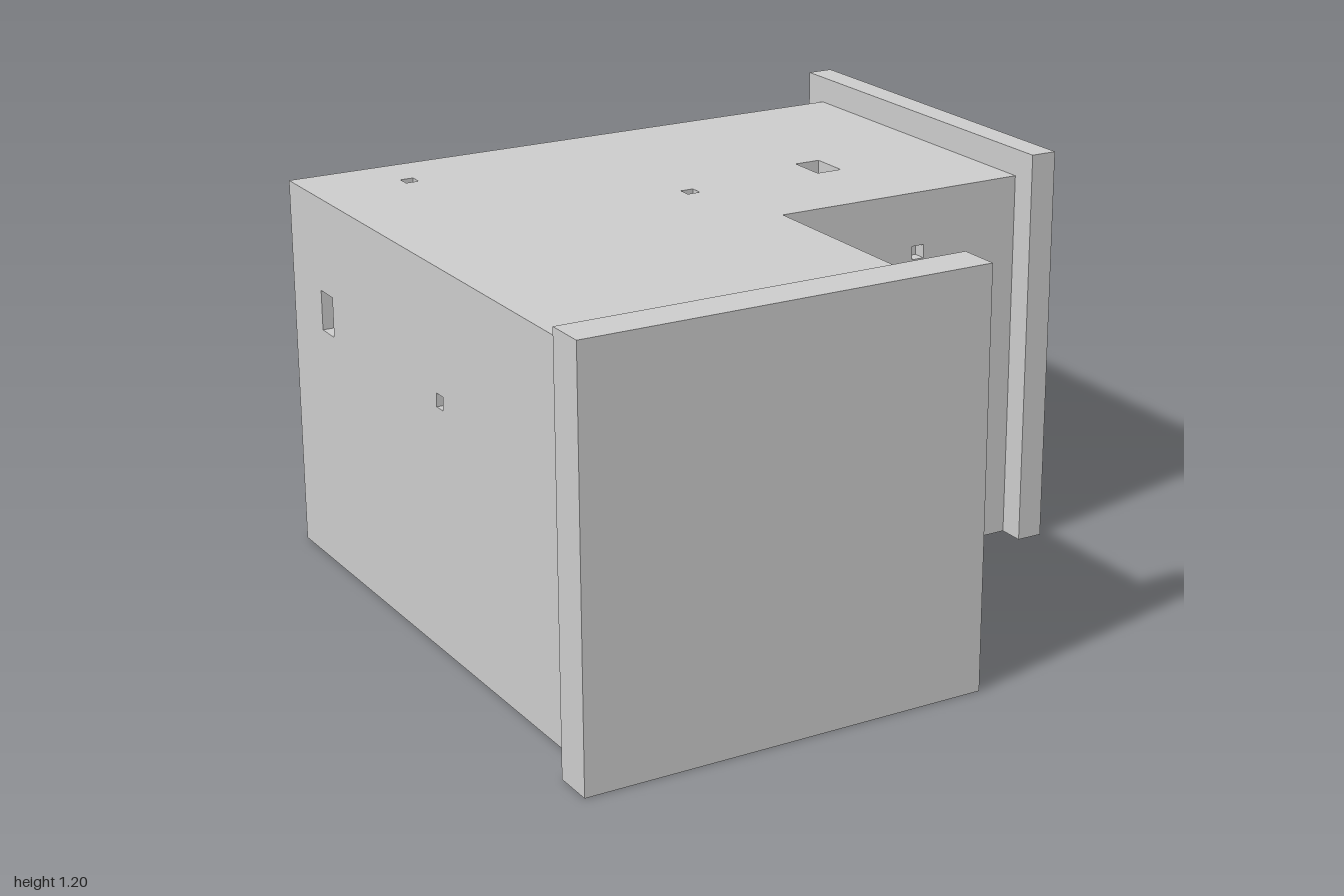
import * as THREE from 'three';

const material = new THREE.MeshStandardMaterial({ color: 0xcccccc, flatShading: true });
const HEIGHT = 1.12;   // body height
const DEPTH = 0.04;    // pocket depth

// Rectangle outline [u0, v0, u1, v1] as corner points
const rect = ([u0, v0, u1, v1]) => [[u0, v0], [u1, v0], [u1, v1], [u0, v1]];
const toPoints = (list) => list.map(([u, v]) => new THREE.Vector2(u, v));

// Shallow recess: a box without its front, turned inside out
function pocketGeometry([u0, v0, u1, v1]) {
  const g = new THREE.BoxGeometry(u1 - u0, v1 - v0, DEPTH);
  const index = Array.from(g.index.array);
  index.splice(24, 6);
  g.setIndex(index);
  g.scale(-1, 1, 1);
  g.computeVertexNormals();
  return g.translate((u0 + u1) / 2, (v0 + v1) / 2, -DEPTH / 2);
}

// Flat wall in its own u/v plane, with square openings leading into pockets
function wall(name, outline, holes, position, rotation) {
  const group = new THREE.Group();
  group.name = name;
  const shape = new THREE.Shape(toPoints(outline));
  for (const hole of holes) {
    shape.holes.push(new THREE.Path(toPoints(rect(hole).reverse())));
    const pocket = new THREE.Mesh(pocketGeometry(hole), material);
    pocket.name = 'pocket';
    group.add(pocket);
  }
  const face = new THREE.Mesh(new THREE.ShapeGeometry(shape), material);
  face.name = name + 'Face';
  group.add(face);
  group.position.set(...position);
  group.rotation.set(...rotation);
  return group;
}

function plate(name, size, position) {
  const mesh = new THREE.Mesh(new THREE.BoxGeometry(...size), material);
  mesh.name = name;
  mesh.position.set(...position);
  return mesh;
}

export function createModel() {
  const model = new THREE.Group();
  model.name = 'cornerBlock';

  // L-shaped plan as x, z corners
  const plan = [[-0.92, -0.92], [0.92, -0.92], [0.92, 0.12], [0.12, 0.12], [0.12, 0.88], [-0.92, 0.88]];
  const Q = Math.PI / 2;

  model.add(
    // Top (v = -z) and bottom (v = z)
    wall('top', plan.map(([x, z]) => [x, -z]),
      [[-0.64, 0.72, -0.6, 0.76], [0, 0.2, 0.04, 0.24], [0.44, 0.2, 0.52, 0.32]],
      [0, HEIGHT, 0], [-Q, 0, 0]),
    wall('bottom', plan, [], [0, 0, 0], [Q, 0, 0]),
    // Back (u = -x)
    wall('backWall', rect([-0.92, 0, 0.92, HEIGHT]),
      [[-0.24, 0.6, -0.2, 0.68], [0.16, 0.64, 0.2, 0.68], [0.6, 0.56, 0.64, 0.6]],
      [0, 0, -0.92], [0, Math.PI, 0]),
    // Right side (u = z)
    wall('rightWall', rect([-0.92, 0, 0.88, HEIGHT]),
      [[-0.72, 0.72, -0.64, 0.84], [0.04, 0.72, 0.08, 0.76]],
      [-0.92, 0, 0], [0, -Q, 0]),
    // Two walls of the inner corner
    wall('innerFrontWall', rect([0.12, 0, 0.92, HEIGHT]),
      [[0.56, 0.92, 0.6, 0.96]], [0, 0, 0.12], [0, 0, 0]),
    wall('innerSideWall', rect([-0.88, 0, -0.12, HEIGHT]), [], [0.12, 0, 0], [0, Q, 0]),
    // End plates closing the two arms
    plate('frontEndPlate', [1.2, 1.2, 0.12], [-0.4, 0.6, 0.94]),
    plate('leftEndPlate', [0.08, 1.2, 1.2], [0.96, 0.6, -0.4]),
  );
  return model;
}
